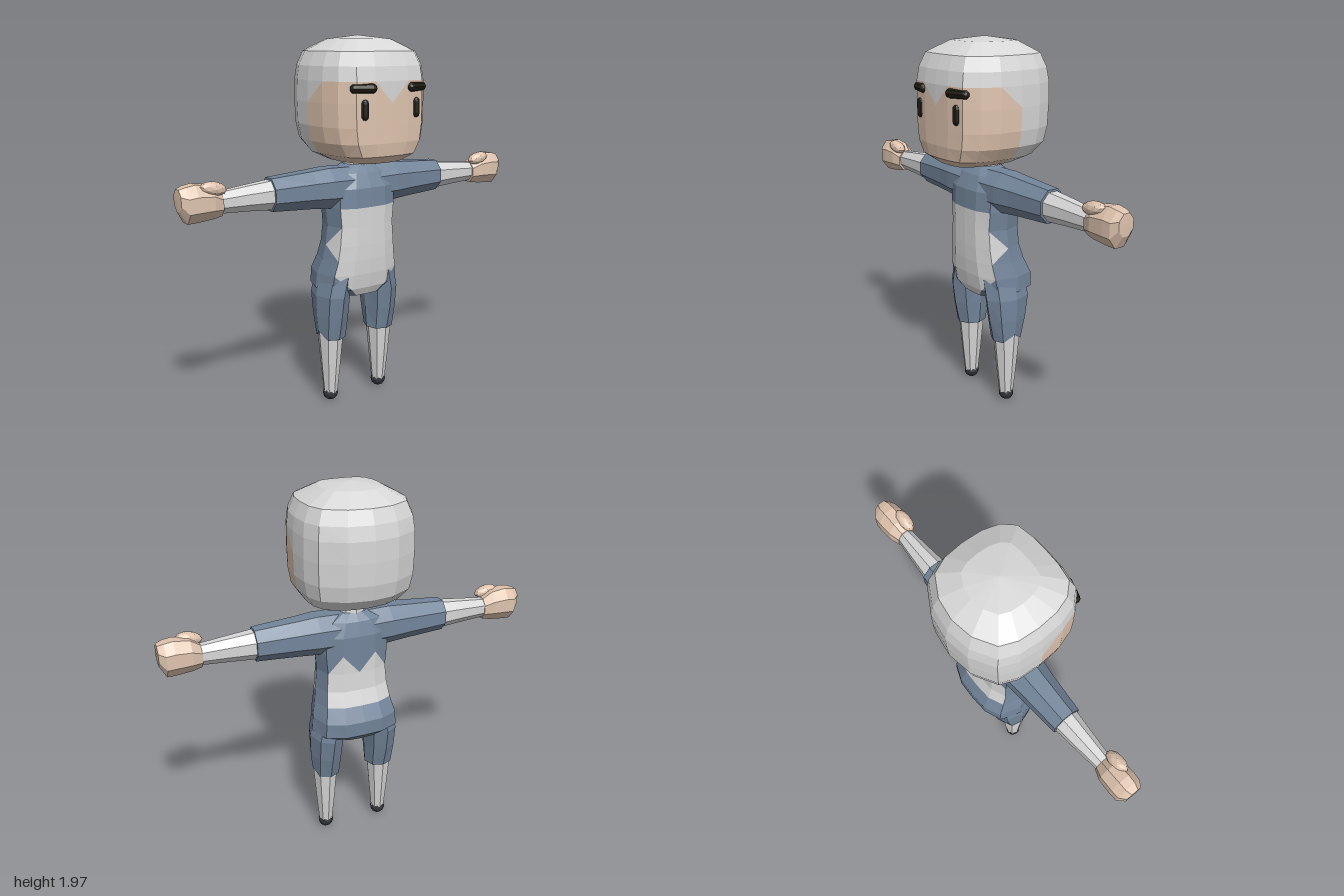
import * as THREE from 'three';

const mat = (name, color) => {
  const m = new THREE.MeshStandardMaterial({ color });
  m.name = name;
  return m;
};

export function createModel() {
  const white = mat('white', 0xd6d7d6), blue = mat('slateBlue', 0x73859a);
  const skin = mat('skin', 0xdec3ae), dark = mat('darkBrown', 0x1f1c12), black = mat('shoeBlack', 0x31363a);
  const root = new THREE.Group();
  root.name = 'figure';

  // Skins rows of points (top to bottom) with flat facets, for each x sign.
  // paint(i, j) gives a material, or [corner, cornerMaterial, otherMaterial] for a diagonally split facet.
  function loft(name, rows, paint, signs = [1, -1]) {
    const byMat = new Map();
    const [a, b, c, n] = [0, 1, 2, 3].map(() => new THREE.Vector3());
    const tri = (m, pts, s) => {
      a.subVectors(pts[1], pts[0]);
      b.subVectors(pts[2], pts[0]);
      if (c.crossVectors(a, b).length() < 1e-7) return;
      if (!byMat.has(m)) byMat.set(m, []);
      for (const p of s > 0 ? pts : [pts[0], pts[2], pts[1]]) {
        n.copy(p);
        byMat.get(m).push(n.x * s, n.y, n.z);
      }
    };
    for (const s of signs)
      for (let i = 0; i < rows.length - 1; i++)
        for (let j = 0; j < rows[i].length - 1; j++) {
          // corners in order: top left, bottom left, bottom right, top right
          const q = [rows[i][j], rows[i + 1][j], rows[i + 1][j + 1], rows[i][j + 1]];
          const p = paint(i, j);
          const [k, m1, m2] = Array.isArray(p) ? p : [1, p, p];
          const at = (d) => q[(k + d + 4) % 4];
          tri(m1, [at(-1), at(0), at(1)], s);
          tri(m2, [at(1), at(2), at(3)], s);
        }
    const group = new THREE.Group();
    group.name = name;
    for (const [m, pos] of byMat) {
      const g = new THREE.BufferGeometry();
      g.setAttribute('position', new THREE.Float32BufferAttribute(pos, 3));
      g.computeVertexNormals();
      const mesh = new THREE.Mesh(g, m);
      mesh.name = `${name} ${m.name}`;
      group.add(mesh);
    }
    root.add(group);
  }

  // Adds a faceted copy of a geometry
  function facet(name, geo, m, pos, scale = [1, 1, 1], rot = [0, 0, 0]) {
    const g = geo.index ? geo.toNonIndexed() : geo;
    g.scale(...scale);
    g.computeVertexNormals();
    const mesh = new THREE.Mesh(g, m);
    mesh.name = name;
    mesh.position.set(...pos);
    mesh.rotation.set(...rot);
    root.add(mesh);
  }

  const V = (x, y, z) => new THREE.Vector3(x, y, z);
  const TL = 0, BL = 1, BR = 2, TR = 3;

  // Head: half outline from the front round to the back, scaled per row [y, width, front, back]
  const headRing = [[0, .3], [.1, .297], [.2, .28], [.262, .215], [.292, .12], [.3, 0],
    [.29, -.12], [.25, -.215], [.13, -.285], [0, -.305]];
  const headRows = [[1.968, 0, 0, 0], [1.948, .5, .5, .5], [1.89, .86, .86, .85], [1.82, .96, .96, .95],
    [1.75, .99, 1, 1], [1.645, 1, 1, 1], [1.53, .99, 1, .98], [1.45, .94, 1, .92],
    [1.385, .79, .97, .7], [1.345, .52, .8, .36], [1.322, 0, 0, 0]]
    .map(([y, w, f, b]) => headRing.map(([x, z]) => V(x * w, y, z * (z > 0 ? f : b))));
  loft('head', headRows, (i, j) => {
    if (i < 4 || j > 4) return white;
    if (i === 4 && j === 0) return [TL, white, skin]; // peak of the hood
    if (i === 4 && j === 4) return [TR, white, skin]; // temple
    return skin;
  });

  // Eyes and brows
  for (const s of [1, -1]) {
    facet('eye', new THREE.CapsuleGeometry(.021, .058, 3, 8), dark, [s * .155, 1.617, .287], [1, 1, .75]);
    facet('eyebrow', new THREE.CapsuleGeometry(.024, .088, 3, 8).rotateZ(Math.PI / 2), dark,
      [s * .16, 1.718, .281], [1, 1, 1], [0, s * .3, 0]);
  }
  facet('neck', new THREE.CylinderGeometry(.065, .075, .08, 8), white, [0, 1.315, -.015]);

  // Torso: rows [y, half width, front z, back z]
  const bodyRing = [[0, 1], [.45, .97], [.85, .72], [1, 0], [.85, -.72], [.45, -.97], [0, -1]];
  const bodyRows = [[1.315, .07, .05, -.08], [1.275, .15, .09, -.11], [1.2, .2, .125, -.13], [1.1, .2, .13, -.13],
    [1, .19, .13, -.13], [.9, .2, .13, -.137], [.82, .212, .128, -.165], [.74, .232, .122, -.205],
    [.66, .238, .108, -.202], [.615, .14, .085, -.155], [.65, 0, 0, 0]]
    .map(([y, w, f, b]) => bodyRing.map(([x, z]) => V(x * w, y, (f + b) / 2 + z * (f - b) / 2)));
  loft('torso', bodyRows, (i, j) => {
    if (i < 3) return blue;
    if (j < 2) { // front panel, tapering to the crotch
      if (i < 7) return white;
      if (i === 7) return j ? [TL, white, blue] : white;
      return j === 0 ? white : blue;
    }
    if (j === 2 && i === 4) return [BL, white, blue];
    if (j === 2 && i === 5) return [TL, white, blue];
    if (j > 3 && (i === 4 || i === 5)) return white; // lower back panel
    if (i === 3 && j === 4) return [BR, white, blue];
    if (i === 3 && j === 5) return [BL, white, blue];
    return blue;
  });

  // Limbs: eight-sided rings closed by repeating the first point
  const angles = Array.from({ length: 9 }, (_, k) => k * Math.PI / 4);
  const armRing = ([x, y0, y1, z0, z1]) => angles.map((a) =>
    V(x, (y0 + y1) / 2 + Math.cos(a + Math.PI / 8) * (y1 - y0) * .541,
      (z0 + z1) / 2 - Math.sin(a + Math.PI / 8) * (z1 - z0) * .541));
  const legRing = ([y, x0, x1, z0, z1, lift = 0]) => angles.map((a, k) =>
    V((x0 + x1) / 2 + Math.sin(a) * (x1 - x0) / 2, y + (k === 2 ? lift : 0),
      (z0 + z1) / 2 + Math.cos(a) * (z1 - z0) / 2));

  for (const s of [1, -1]) {
    const side = s > 0 ? 'left' : 'right';
    const arm = (part, rows, m) => loft(`${side} ${part}`, rows.map(armRing), () => m, [s]);
    const leg = (part, rows, m) => loft(`${side} ${part}`, rows.map(legRing), () => m, [s]);

    // Arm rows: [x, bottom, top, back, front]
    arm('sleeve', [[.06, 1.1, 1.305, -.11, .1], [.2, 1.1, 1.308, -.108, .098], [.3, 1.108, 1.3, -.1, .085],
      [.525, 1.12, 1.285, -.085, .067], [.525, 1.19, 1.21, -.02, 0]], blue);
    arm('forearm', [[.5, 1.128, 1.276, -.075, .058], [.65, 1.138, 1.262, -.062, .046],
      [.81, 1.145, 1.245, -.047, .035]], white);
    arm('hand', [[.785, 1.18, 1.21, -.02, .01], [.79, 1.133, 1.25, -.052, .045], [.84, 1.125, 1.285, -.072, .062],
      [.92, 1.118, 1.297, -.077, .065], [.965, 1.116, 1.29, -.074, .062], [.998, 1.175, 1.28, -.05, .04],
      [1, 1.23, 1.23, 0, 0]], skin);
    facet(`${side} thumb`, new THREE.IcosahedronGeometry(1, 1), skin, [s * .835, 1.272, .03],
      [.068, .034, .036], [0, 0, s * .2]);

    // Leg rows: [y, inner, outer, back, front, hem lift]
    leg('shorts', [[.73, .04, .222, -.16, .105], [.62, .065, .246, -.165, .103], [.5, .073, .244, -.142, .085],
      [.375, .08, .236, -.108, .058, .04], [.4, .15, .17, -.04, -.02]], blue);
    leg('shin', [[.43, .092, .232, -.105, .052], [.37, .095, .228, -.1, .047], [.2, .11, .214, -.084, .03],
      [.045, .125, .2, -.066, .012]], white);
    facet(`${side} foot`, new THREE.IcosahedronGeometry(.042, 1), black, [s * .163, .042, -.028]);
  }
  return root;
}
